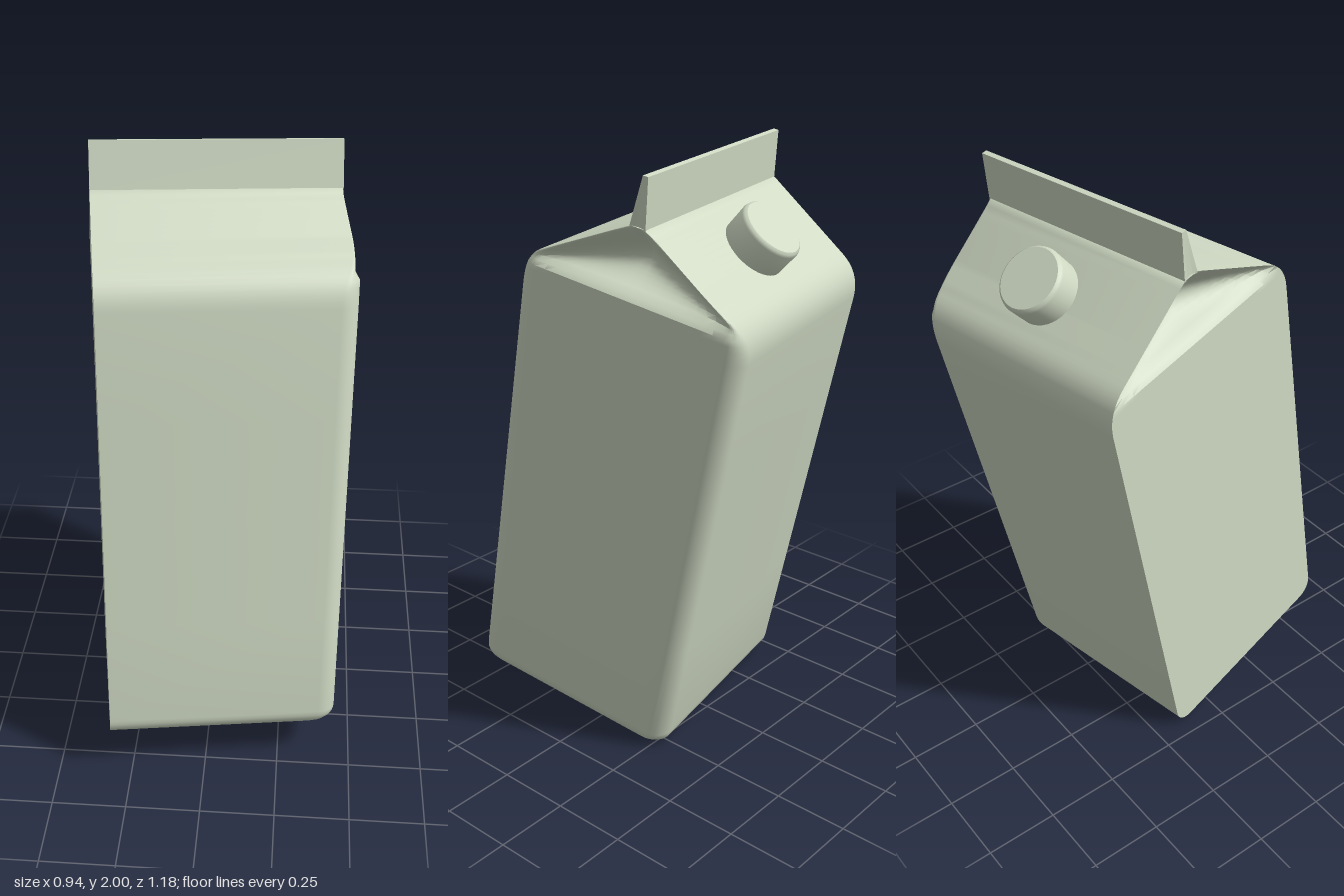
import * as THREE from 'three';
import { toCreasedNormals } from 'three/addons/utils/BufferGeometryUtils.js';

const SHOULDER = 1.58, RIDGE = 1.8, TOP = 1.955;
const lerp = THREE.MathUtils.lerp;

// Horizontal outline, counter-clockwise from above. Right side (+x) has
// rounded corners of radius r, left side is sharp.
function outline({ y, left, right, half, r = 0 }, rounded) {
  const pts = [], rad = Math.min(r, half * 0.6), n = 18, c = 6;
  const end = half - rad;
  for (let i = 1; i < n; i++) pts.push([right, lerp(end, -end, i / n)]);
  const arc = (sign) => {
    const steps = rounded ? c : 0;
    for (let i = 0; i <= steps; i++) {
      const k = steps ? i / steps : 0;
      const t = (sign < 0 ? k : 1 - k) * Math.PI / 2;
      pts.push([right - rad + rad * Math.cos(t), sign * (end + rad * Math.sin(t))]);
    }
  };
  arc(-1);
  for (let i = 0; i <= n; i++) pts.push([left, lerp(-half, half, i / n)]);
  arc(1);
  return pts.map(([x, z]) => {
    // Fold the gable ends inward
    const a = (y - SHOULDER) / (RIDGE - SHOULDER);
    if (a > 0 && a < 1) {
      const h = 1 - Math.min(1, Math.abs(z) / half) * (1 - a);
      const s = Math.min(1, a / h);
      x -= Math.sign(x) * 0.12 * h * Math.sin(Math.PI * Math.pow(s, 0.85));
    }
    return [x, y, z];
  });
}

// Closed skin through a stack of outlines
function loft(levels, rounded) {
  const loops = levels.map((l) => outline(l, rounded));
  const n = loops[0].length, pos = loops.flat(2), idx = [];
  for (let j = 0; j < loops.length - 1; j++) {
    for (let i = 0; i < n; i++) {
      const k = (i + 1) % n, a = j * n + i, b = j * n + k;
      idx.push(a, b, b + n, a, b + n, a + n);
    }
  }
  const base = loops.length * n, last = base - n;
  pos.push(0, levels[0].y, 0, 0, levels.at(-1).y, 0);
  for (let i = 0; i < n; i++) {
    const k = (i + 1) % n;
    idx.push(base, k, i, base + 1, last + i, last + k);
  }
  const g = new THREE.BufferGeometry();
  g.setAttribute('position', new THREE.Float32BufferAttribute(pos, 3));
  g.setIndex(idx);
  return toCreasedNormals(g, 0.6);
}

export function createModel() {
  const card = new THREE.MeshStandardMaterial({ color: 0xd0dac4 });
  card.name = 'pale green';
  const carton = new THREE.Group();
  carton.name = 'carton';
  const add = (name, geometry) => {
    const m = new THREE.Mesh(geometry, card);
    m.name = name;
    carton.add(m);
    return m;
  };

  // Body and gable roof
  const levels = [];
  const level = (y, half, inset = 0) => {
    const t = Math.min(1, Math.max(0, y / SHOULDER));
    const width = lerp(0.39, 0.413, t);
    levels.push({
      y, half, left: -width, right: width - inset,
      r: lerp(0.065, 0.012, THREE.MathUtils.smoothstep(y, 1.5, 1.68)),
    });
  };
  const R = 0.06;
  for (let i = 0; i <= 6; i++) { // rounded bottom edge
    const t = (i / 6) * Math.PI / 2, inset = R * (1 - Math.sin(t));
    level(R * (1 - Math.cos(t)), 0.388 - inset, inset);
  }
  for (let i = 1; i < 4; i++) level(lerp(R, 1.49, i / 4), lerp(0.388, 0.402, i / 4));
  const bend = new THREE.QuadraticBezierCurve(
    new THREE.Vector2(0.402, 1.49), new THREE.Vector2(0.402, SHOULDER), new THREE.Vector2(0.325, 1.624));
  for (const p of bend.getPoints(8)) level(p.y, p.x); // rounded shoulder
  for (let i = 1; i <= 14; i++) level(lerp(1.624, RIDGE, i / 14), lerp(0.325, 0.028, i / 14));
  add('body', loft(levels, true));

  // Sealed fin along the ridge
  add('topFin', loft([
    { y: RIDGE - 0.005, left: -0.413, right: 0.413, half: 0.028 },
    { y: TOP, left: -0.413, right: 0.413, half: 0.009 },
  ], false));

  // Screw cap on the back roof panel
  const profile = [[0.108, -0.02], [0.11, 0.085], [0.107, 0.094], [0.1, 0.1], [0, 0.1]]
    .map(([x, y]) => new THREE.Vector2(x, y));
  const cap = add('cap', toCreasedNormals(new THREE.LatheGeometry(profile, 40), 0.6));
  cap.position.set(0.01, 1.702, -0.194);
  cap.rotation.x = -0.535;

  // Lean and turn the whole carton
  const front = new THREE.Vector3(0.172, 0.196, 0.965).normalize();
  const side = new THREE.Vector3(0.985, -0.026, -0.17);
  const up = front.clone().cross(side).normalize();
  side.crossVectors(up, front);
  carton.quaternion.setFromRotationMatrix(new THREE.Matrix4().makeBasis(side, up, front));
  carton.position.set(0, 0.08, 0.148);

  const model = new THREE.Group();
  model.name = 'milkCarton';
  model.add(carton);
  return model;
}
